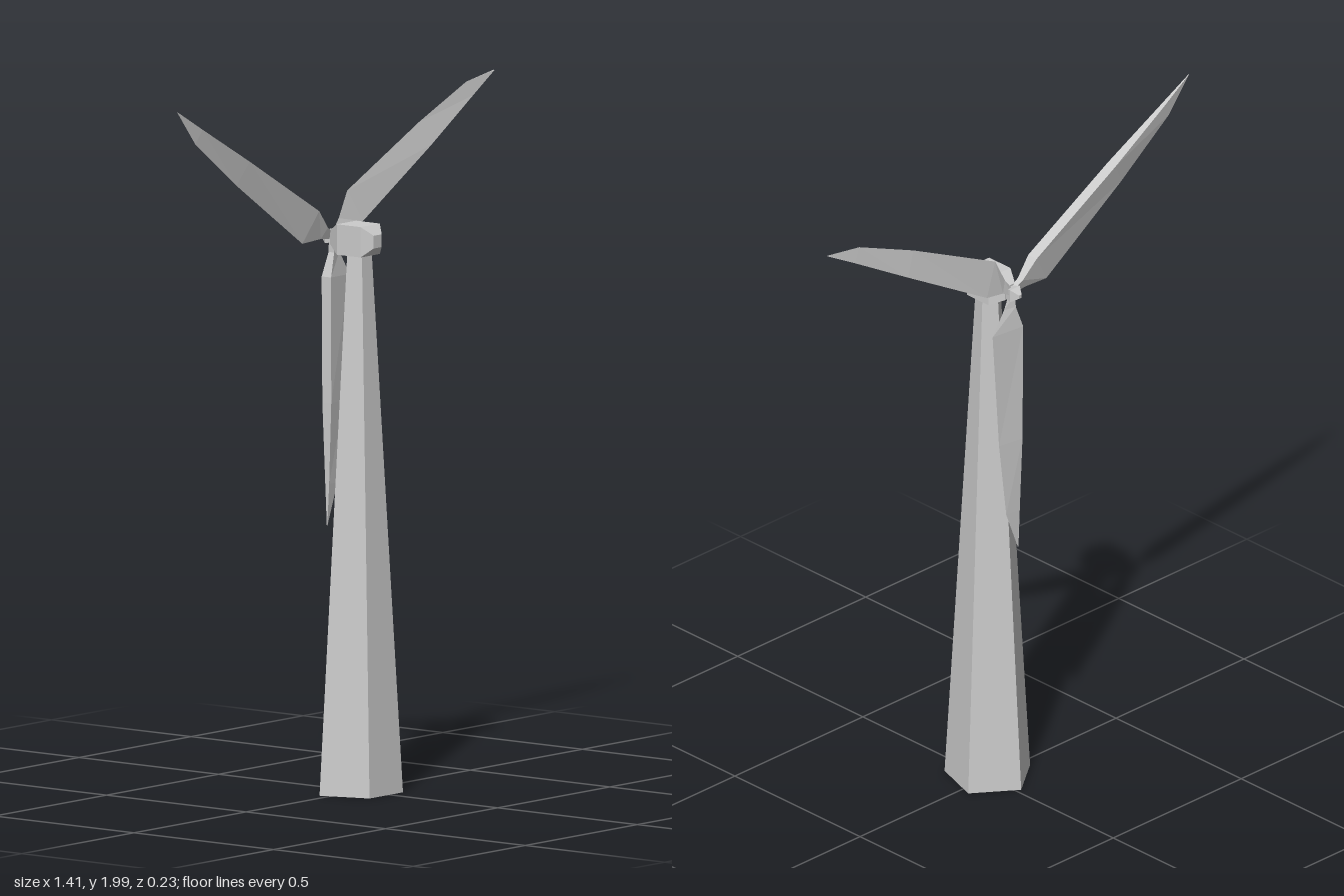
import * as THREE from 'three';

const material = new THREE.MeshStandardMaterial({ color: 0xcccccc, flatShading: true });

// Skins a list of rings (same point count) and caps both ends.
// Rings run counter-clockwise as seen from the end they advance towards.
function loft(name, rings) {
  const n = rings[0].length;
  const index = [];
  for (let r = 0; r < rings.length - 1; r++) {
    for (let i = 0; i < n; i++) {
      const a = r * n + i, b = r * n + (i + 1) % n;
      index.push(a, b, b + n, a, b + n, a + n);
    }
  }
  const last = (rings.length - 1) * n;
  for (let i = 1; i < n - 1; i++) {
    index.push(0, i + 1, i, last, last + i, last + i + 1);
  }
  const indexed = new THREE.BufferGeometry();
  indexed.setAttribute('position', new THREE.Float32BufferAttribute(rings.flat(2), 3));
  indexed.setIndex(index);
  const geometry = indexed.toNonIndexed();
  geometry.computeVertexNormals();
  const mesh = new THREE.Mesh(geometry, material);
  mesh.name = name;
  return mesh;
}

// Five-sided ring with a flat side to the front
const pentagon = (radius, y, z) => Array.from({ length: 5 }, (_, i) => {
  const t = (i + 0.5) * Math.PI * 2 / 5;
  return [radius * Math.sin(t), y, z + radius * Math.cos(t)];
});

// Square ring across z
const square = (z, h) => [[h, -h, z], [h, h, z], [-h, h, z], [-h, -h, z]];

// Triangular blade section: blunt edge at low, sharp edge at high
const section = ([u, low, high, thick]) => [[u, low, -thick], [u, high, 0], [u, low, thick]];

export function createModel() {
  const model = new THREE.Group();
  model.name = 'windTurbine';
  const axisX = -0.015, axisY = 1.562;

  // Tapered tower
  const tower = loft('tower', [pentagon(0.127, 0, 0.01), pentagon(0.037, 1.53, 0.013)]);
  tower.position.x = axisX;
  model.add(tower);

  // Nacelle with chamfered ends
  const nacelle = loft('nacelle', [
    square(-0.072, 0.02), square(-0.03, 0.043), square(0.055, 0.043), square(0.082, 0.018),
  ]);
  nacelle.position.set(axisX, axisY, 0);
  model.add(nacelle);

  // Rotor: spinner and three blades
  const rotor = new THREE.Group();
  rotor.name = 'rotor';
  rotor.position.set(axisX, axisY, -0.078);
  rotor.add(loft('spinner', [square(-0.036, 0.005), square(-0.014, 0.019), square(0.01, 0.015)]));

  // Sections: distance from hub, blunt edge, sharp edge, half thickness
  const stations = [
    [0.005, -0.008, 0.012, 0.008],
    [0.045, -0.006, 0.03, 0.01],
    [0.113, -0.026, 0.077, 0.017],
    [0.468, -0.013, 0.063, 0.016],
    [0.697, -0.004, 0.042, 0.007],
    [0.815, -0.001, 0.001, 0.001],
  ];
  for (let i = 0; i < 3; i++) {
    const blade = loft('blade' + (i + 1), stations.map(section));
    blade.rotation.z = THREE.MathUtils.degToRad(28.2 + i * 120);
    rotor.add(blade);
  }
  model.add(rotor);
  return model;
}
